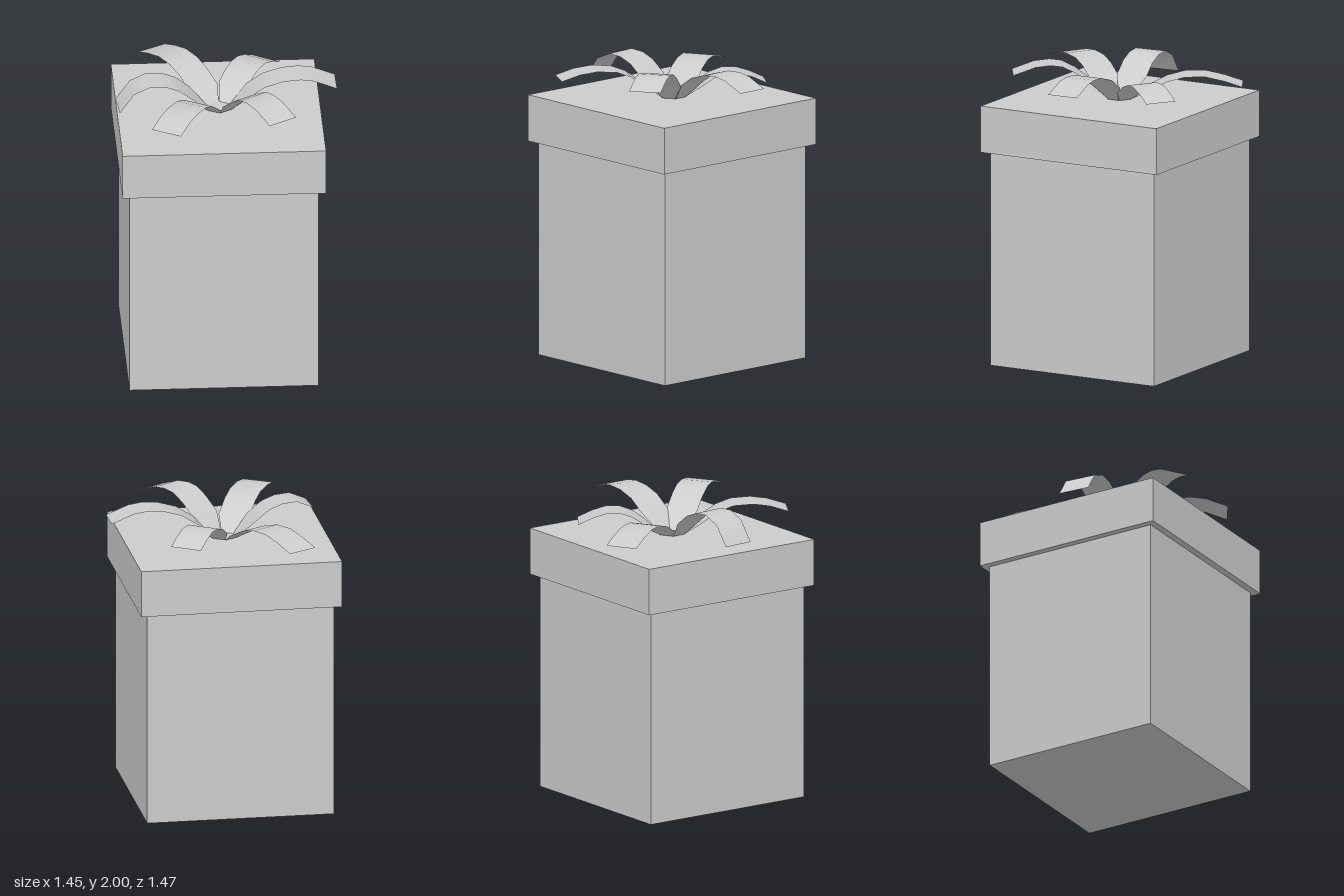
import * as THREE from 'three';

const CX = -0.05, CZ = 0.015;      // box axis
const BOW_Y = 1.755;               // height of the bow's base
const HUB = 0.075, FULL = 0.185;   // hub radius, radius where strips reach full width
const HALF_HUB = 0.045, HALF = 0.107;

// Each strip: end point (x, z) and side profile as [distance from hub centre, height]
const STRIPS = [
  { name: 'rightRibbon', end: [0.725, 0.0],
    profile: [[FULL, 1.87], [0.3, 1.945], [0.42, 1.98], [0.53, 1.988], [0.62, 1.975], [0.77, 1.915]] },
  { name: 'frontRightRibbon', end: [0.34, 0.605],
    profile: [[FULL, 1.865], [0.29, 1.945], [0.38, 1.99], [0.46, 2.0], [0.56, 1.988], [0.705, 1.935]] },
  { name: 'frontLeftRibbon', end: [-0.43, 0.675],
    profile: [[FULL, 1.84], [0.3, 1.92], [0.4, 1.957], [0.53, 1.965], [0.64, 1.95], [0.765, 1.91]] },
  { name: 'leftRibbon', end: [-0.715, 0.07],
    profile: [[FULL, 1.87], [0.28, 1.945], [0.37, 1.98], [0.47, 1.987], [0.58, 1.94], [0.675, 1.81]] },
  { name: 'backLeftRibbon', end: [-0.45, -0.685],
    profile: [[FULL, 1.82], [0.31, 1.885], [0.43, 1.917], [0.56, 1.92], [0.69, 1.89], [0.81, 1.85]] },
  { name: 'backRightRibbon', end: [0.295, -0.5],
    profile: [[FULL, 1.84], [0.26, 1.89], [0.34, 1.918], [0.43, 1.918], [0.52, 1.89], [0.617, 1.845]] },
];

// Curved ribbon running along +x, tapered where it meets the hub
function ribbonGeometry(profile) {
  const rows = [[HUB, BOW_Y], ...profile];
  const geo = new THREE.PlaneGeometry(1, 1, 1, rows.length - 1);
  const pos = geo.attributes.position;
  rows.forEach(([r, y], i) => {
    const half = i === 0 ? HALF_HUB : HALF;
    pos.setXYZ(2 * i, r, y, half);
    pos.setXYZ(2 * i + 1, r, y, -half);
  });
  // wind the faces so they look upward
  const index = geo.index.array;
  for (let i = 0; i < index.length; i += 3) {
    const a = new THREE.Vector3().fromBufferAttribute(pos, index[i]);
    const b = new THREE.Vector3().fromBufferAttribute(pos, index[i + 1]).sub(a);
    const c = new THREE.Vector3().fromBufferAttribute(pos, index[i + 2]).sub(a);
    if (b.cross(c).y < 0) [index[i + 1], index[i + 2]] = [index[i + 2], index[i + 1]];
  }
  geo.computeVertexNormals();
  return geo;
}

export function createModel() {
  const group = new THREE.Group();
  const solid = new THREE.MeshStandardMaterial({ color: 0xcccccc });
  const thin = new THREE.MeshStandardMaterial({ color: 0xcccccc, side: THREE.DoubleSide });

  const block = (name, size, y0, y1) => {
    const mesh = new THREE.Mesh(new THREE.BoxGeometry(size, y1 - y0, size), solid);
    mesh.name = name;
    mesh.position.set(CX, (y0 + y1) / 2, CZ);
    group.add(mesh);
  };
  block('box', 1.245, 0, 1.44);
  block('lid', 1.34, 1.44, 1.752);

  // Bow: six curved ribbons around a hexagonal hub
  const bow = new THREE.Group();
  bow.name = 'bow';
  bow.position.set(-0.045, 0, CZ);
  for (const { name, end, profile } of STRIPS) {
    const ribbon = new THREE.Mesh(ribbonGeometry(profile), thin);
    ribbon.name = name;
    ribbon.rotation.y = -Math.atan2(end[1] - CZ, end[0] - bow.position.x);
    bow.add(ribbon);
  }
  const hub = new THREE.Mesh(new THREE.CircleGeometry(0.087, 6, Math.PI / 6), thin);
  hub.name = 'bowHub';
  hub.rotation.x = -Math.PI / 2;
  hub.position.y = BOW_Y;
  bow.add(hub);
  group.add(bow);

  return group;
}
